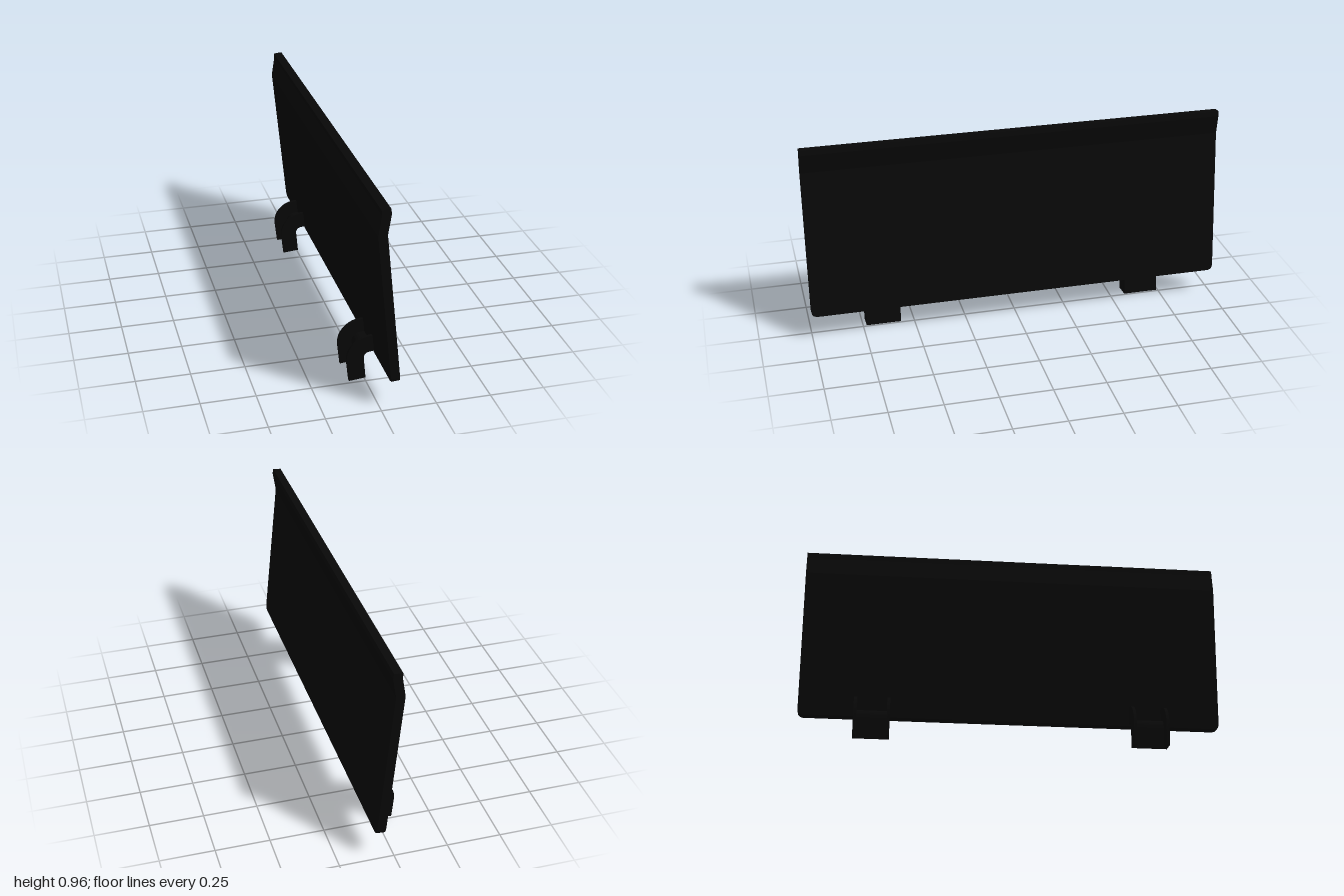
import * as THREE from 'three';
import { toCreasedNormals } from 'three/addons/utils/BufferGeometryUtils.js';

const black = new THREE.MeshStandardMaterial({ color: 0x080808 });

// Leaning slab with a kinked top lip; its two bottom corners are rounded
function panelGeometry() {
  const profile = [
    [0.042, 0.135], [0.046, 0.131], [0.083, 0.134], [0.012, 0.848], [0.027, 0.94],
    [0.024, 0.965], [-0.016, 0.961], [-0.015, 0.935], [-0.029, 0.845],
  ];
  const shape = new THREE.Shape(profile.map(([x, y]) => new THREE.Vector2(x, y)));
  const r = 0.025;
  const inset = [0, 0.003, 0.01, r];
  const stations = [...inset.map((d) => -1 + d), ...inset.map((d) => 1 - d).reverse()];
  const steps = stations.length - 1;
  const geo = new THREE.ExtrudeGeometry(shape, { depth: steps, steps, bevelEnabled: false });
  const pos = geo.attributes.position;
  for (let i = 0; i < pos.count; i++) {
    const z = stations[Math.round(pos.getZ(i))];
    pos.setZ(i, z);
    if (pos.getY(i) < 0.2) {
      const d = Math.max(0, r - (1 - Math.abs(z)));
      const lift = r - Math.sqrt(r * r - d * d);
      pos.setXY(i, pos.getX(i) - 0.1 * lift, pos.getY(i) + lift);
    }
  }
  geo.computeVertexNormals();
  return geo;
}

// Extrude a side profile along z between two positions, smoothing its curves
function slice(shape, z0, z1) {
  const geo = new THREE.ExtrudeGeometry(shape, {
    depth: z1 - z0, bevelEnabled: false, curveSegments: 12,
  });
  geo.translate(0, 0, z0);
  return toCreasedNormals(geo, 0.5);
}

// Hooked cheek plate
function cheekShape() {
  const s = new THREE.Shape();
  s.moveTo(-0.073, 0.002);
  s.lineTo(0.004, 0.009);
  s.lineTo(-0.005, 0.108);
  s.bezierCurveTo(-0.007, 0.127, 0.005, 0.139, 0.02, 0.141);
  s.lineTo(0.05, 0.144);
  s.lineTo(0.043, 0.222);
  s.lineTo(0.022, 0.221);
  s.bezierCurveTo(-0.04, 0.216, -0.09, 0.165, -0.084, 0.1);
  return s;
}

// Thin strip following the inner edge of the hook
function webShape() {
  const s = new THREE.Shape();
  s.moveTo(-0.01, 0.008);
  s.lineTo(0.004, 0.009);
  s.lineTo(-0.005, 0.108);
  s.bezierCurveTo(-0.007, 0.127, 0.005, 0.139, 0.02, 0.141);
  s.lineTo(0.05, 0.144);
  s.lineTo(0.049, 0.158);
  s.lineTo(0.018, 0.155);
  s.bezierCurveTo(-0.005, 0.152, -0.022, 0.134, -0.019, 0.107);
  return s;
}

function bracket(name) {
  const g = new THREE.Group();
  g.name = name;
  const half = 0.084, t = 0.014;
  const parts = [
    ['cheekFront', cheekShape(), half - t, half],
    ['cheekBack', cheekShape(), -half, -half + t],
    ['web', webShape(), -half + t, half - t],
  ];
  for (const [partName, shape, z0, z1] of parts) {
    const mesh = new THREE.Mesh(slice(shape, z0, z1), black);
    mesh.name = partName;
    g.add(mesh);
  }
  return g;
}

export function createModel() {
  const model = new THREE.Group();
  model.name = 'hingedPanel';

  const panel = new THREE.Mesh(panelGeometry(), black);
  panel.name = 'panel';
  model.add(panel);

  // Channel-shaped hinge brackets near both ends
  for (const [name, z] of [['frontBracket', 0.65], ['backBracket', -0.654]]) {
    const b = bracket(name);
    b.position.z = z;
    model.add(b);
  }
  return model;
}
